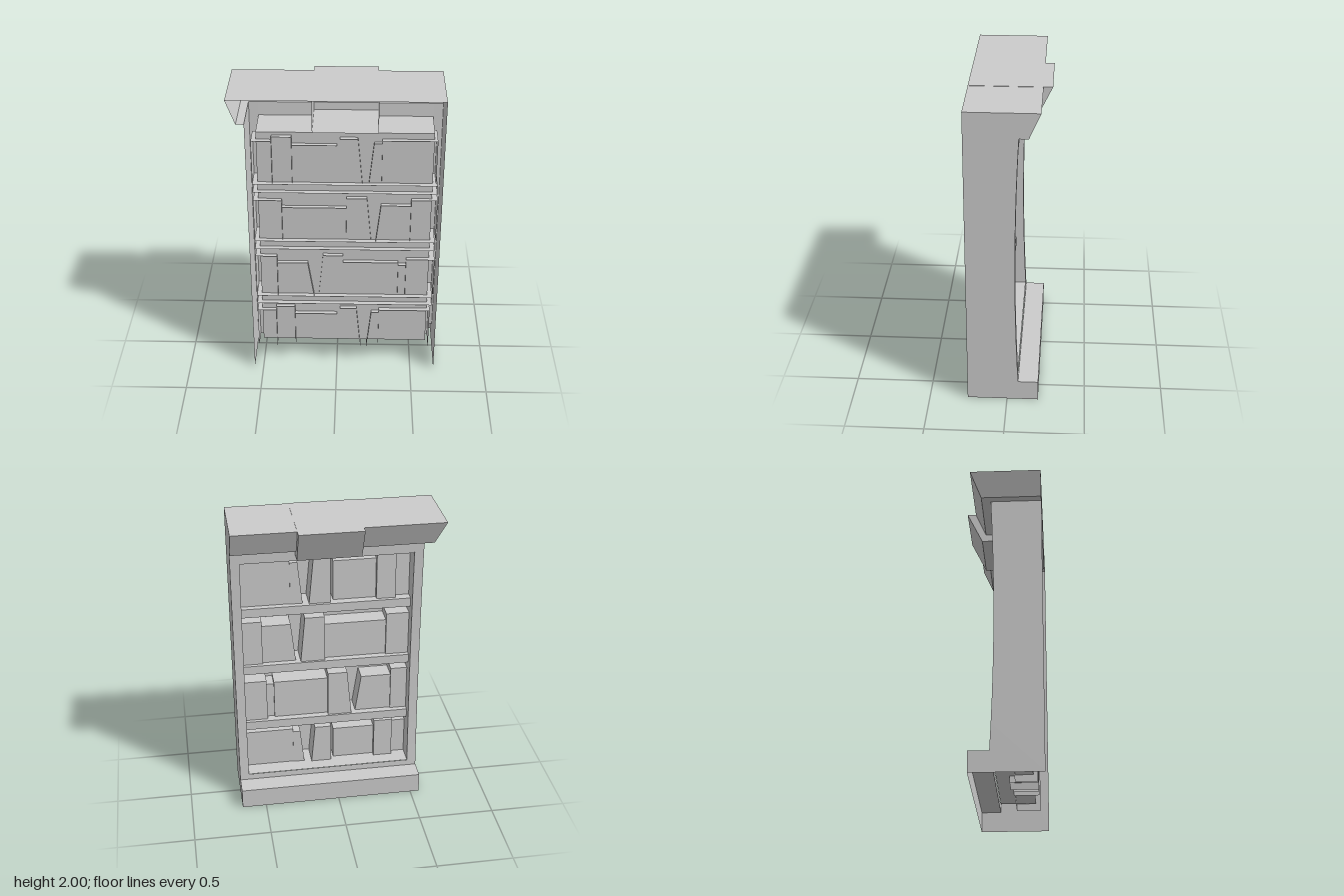
import * as THREE from 'three';

const material = new THREE.MeshStandardMaterial({ color: 0xcccccc, flatShading: true, side: THREE.DoubleSide });
const BACK = 0.255;
const PANEL = 0.17;
const FACES = ['px', 'nx', 'py', 'ny', 'pz', 'nz'];

// Hollowed front edge of the carcass: depth at a given height
const frontZ = (y) => -0.05 - 0.022 * ((y - 0.98) / 0.86) ** 2;

function addMesh(parent, name, geometry) {
  const mesh = new THREE.Mesh(geometry, material);
  mesh.name = name;
  parent.add(mesh);
  return mesh;
}

// Tapered open box; low and high are [xMin, xMax, zFront] at its bottom and top
function shell(parent, name, y0, y1, low, high, zBack, omit = []) {
  const geo = new THREE.BoxGeometry(1, 1, 1);
  const p = geo.attributes.position;
  for (let i = 0; i < p.count; i++) {
    const up = p.getY(i) > 0;
    const [x0, x1, z] = up ? high : low;
    p.setXYZ(i, p.getX(i) > 0 ? x1 : x0, up ? y1 : y0, p.getZ(i) > 0 ? zBack : z);
  }
  const index = Array.from(geo.index.array);
  geo.setIndex(index.filter((_, i) => !omit.includes(FACES[Math.floor(i / 6)])));
  geo.clearGroups();
  geo.computeVertexNormals();
  return addMesh(parent, name, geo);
}

// Points [z, y] along the hollowed edge
function edge(y0, y1, n = 10) {
  return Array.from({ length: n + 1 }, (_, i) => {
    const y = y0 + ((y1 - y0) * i) / n;
    return [frontZ(y), y];
  });
}

// Flat upright sheet at x, outlined by [z, y] points
function sidePanel(parent, name, x, points) {
  const shape = new THREE.Shape(points.map(([z, y]) => new THREE.Vector2(z, y)));
  const geo = new THREE.ShapeGeometry(shape);
  geo.rotateY(-Math.PI / 2);
  geo.translate(x, 0, 0);
  addMesh(parent, name, geo);
}

// Piece of the front frame, bent to the hollowed edge
function framePiece(parent, name, x0, x1, y0, y1, segments) {
  const geo = new THREE.PlaneGeometry(x1 - x0, y1 - y0, 1, segments);
  geo.rotateY(Math.PI);
  geo.translate((x0 + x1) / 2, (y0 + y1) / 2, 0);
  const p = geo.attributes.position;
  for (let i = 0; i < p.count; i++) p.setZ(i, frontZ(p.getY(i)));
  geo.computeVertexNormals();
  addMesh(parent, name, geo);
}

// Book blocks: [x0, x1, top, zFront, taper at x0, taper at x1]
const endRow = (h) => [
  [-0.53, -0.405, 0.30 + h, 0.06, 0, 0],
  [-0.405, -0.28, 0.33 + h, 0.025, 0, 0],
  [-0.28, 0.0, 0.275 + h, 0.055, 0, 0],
  [0.02, 0.16, 0.32 + h, 0.02, 0, 0.03],
  [0.20, 0.28, 0.29 + h, 0.035, 0.03, 0],
  [0.28, 0.62, 0.31 + h, 0.04, 0, 0],
];
const ROWS = [
  { y: 0.13, books: endRow(0.13) },
  { y: 0.55, books: [
    [-0.53, -0.39, 0.86, 0.035, 0, 0],
    [-0.39, -0.15, 0.81, 0.045, 0, 0.04],
    [-0.12, 0.04, 0.87, 0.015, 0.03, 0],
    [0.04, 0.40, 0.82, 0.045, 0, 0],
    [0.40, 0.45, 0.80, 0.06, 0, 0],
    [0.45, 0.635, 0.845, 0.025, 0, 0],
  ] },
  { y: 0.98, books: [
    [-0.53, -0.35, 1.28, 0.03, 0, 0],
    [-0.35, 0.06, 1.23, 0.045, 0, 0],
    [0.06, 0.22, 1.30, 0.015, 0, 0.03],
    [0.25, 0.47, 1.25, 0.04, 0.03, 0],
    [0.47, 0.635, 1.29, 0.025, 0, 0],
  ] },
  { y: 1.40, books: endRow(1.40) },
];

export function createModel() {
  const group = new THREE.Group();
  group.name = 'bookcase';

  // Outer side panels
  const body = edge(0.135, 1.84);
  sidePanel(group, 'leftSidePanel', 0.66, [
    [BACK, 0], [-0.2, 0], [-0.2, 0.135], ...body, [-0.13, 1.84], [-0.2, 2], [BACK, 2],
  ]);
  sidePanel(group, 'rightSidePanel', -0.56, [
    [BACK, 0], [-0.2, 0], [-0.2, 0.135], ...body, [BACK, 1.84],
  ]);

  // Front frame around the opening
  framePiece(group, 'leftStile', 0.6, 0.66, 0.135, 1.84, 10);
  framePiece(group, 'rightStile', -0.56, -0.5, 0.135, 1.84, 10);
  framePiece(group, 'topRail', -0.5, 0.6, 1.75, 1.84, 1);
  framePiece(group, 'bottomRail', -0.5, 0.6, 0.135, 0.175, 1);

  // Recess with its back panel, ceiling, floor and inner walls
  const mouth = [-0.5, 0.6, frontZ(1.75)];
  shell(group, 'recess', 0.175, 1.75, mouth, mouth, PANEL, ['px', 'nx', 'nz']);
  for (const [name, x] of [['leftInnerWall', 0.6], ['rightInnerWall', -0.5]]) {
    sidePanel(group, name, x, [[PANEL, 0.175], ...edge(0.175, 1.75), [PANEL, 1.75]]);
  }

  // Plinth
  const plinth = [-0.56, 0.66, -0.2];
  shell(group, 'plinth', 0, 0.135, plinth, plinth, -0.07, ['px', 'nx', 'ny', 'pz']);

  // Cornice, open behind and below, with narrow soffits
  shell(group, 'cornice', 1.84, 2, [-0.61, 0.66, -0.13], [-0.67, 0.66, -0.2], BACK, ['px', 'ny', 'pz']);
  for (const [w, d, x, z] of [[1.27, 0.06, 0.025, -0.1], [0.05, BACK + 0.07, -0.585, (BACK - 0.07) / 2]]) {
    const soffit = addMesh(group, 'corniceSoffit', new THREE.PlaneGeometry(w, d));
    soffit.rotation.x = Math.PI / 2;
    soffit.position.set(x, 1.84, z);
  }
  shell(group, 'corniceCentre', 1.79, 2.002, [-0.15, 0.255, -0.155], [-0.15, 0.255, -0.257], BACK, ['pz']);

  // Shelves and books, open at the back
  ROWS.forEach((row, r) => {
    if (r > 0) {
      const span = [-0.53, 0.63, 0];
      shell(group, 'shelf', row.y - 0.06, row.y, span, span, 0.205, ['pz']);
    }
    for (const [x0, x1, top, z, t0, t1] of row.books) {
      shell(group, 'books', row.y, top, [x0, x1, z], [x0 + t0, x1 - t1, z], 0.2, ['ny', 'pz']);
    }
  });
  return group;
}
